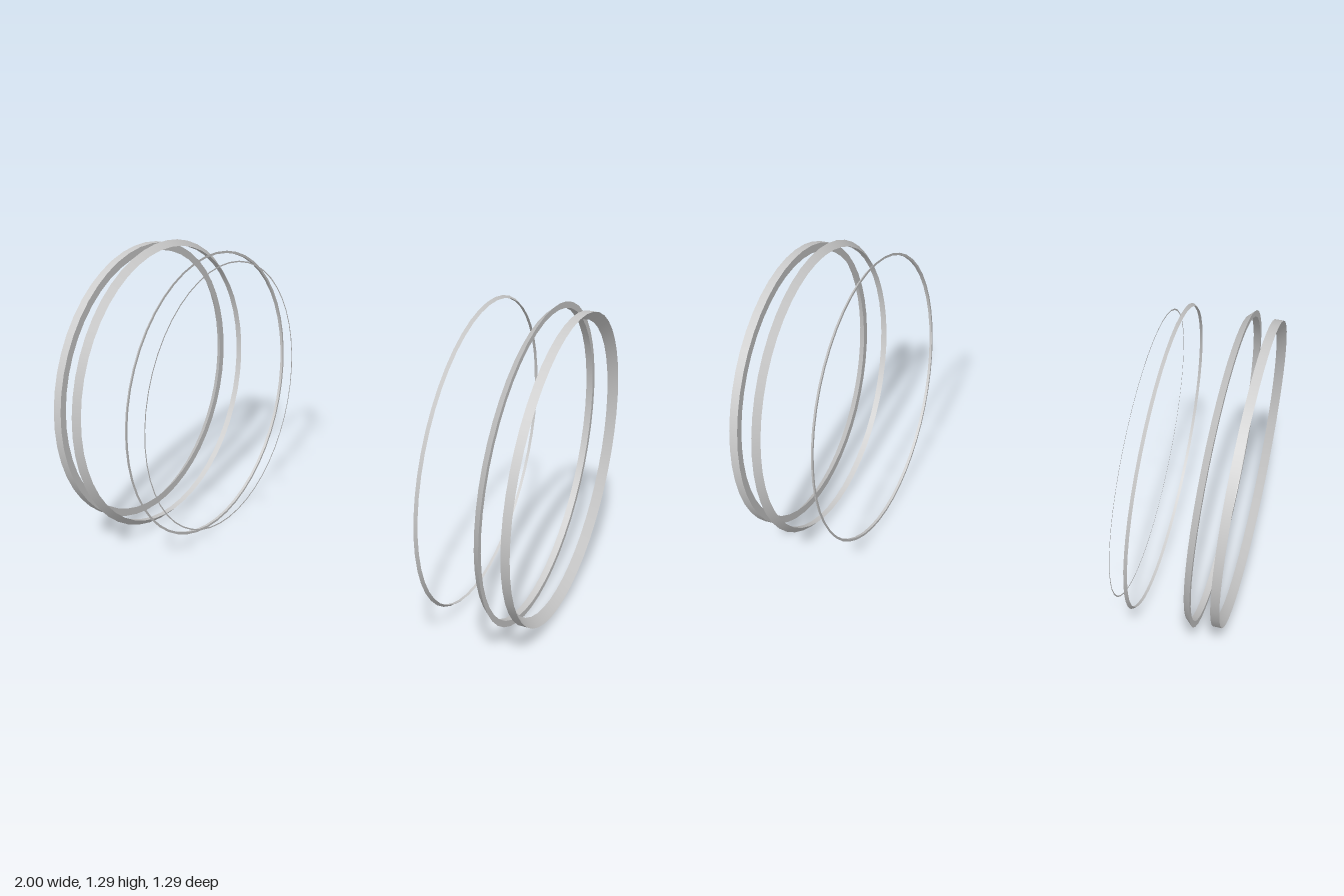
import * as THREE from 'three';
import { mergeGeometries } from 'three/addons/utils/BufferGeometryUtils.js';

const SEGMENTS = 48;
const AXLE_HEIGHT = 0.645;

// Revolves a closed [radius, x] section about the x axis, with sharp edges between its sides.
function ringGeometry(section) {
  const bands = section.map((p, i) => {
    const q = section[(i + 1) % section.length];
    return new THREE.LatheGeometry([new THREE.Vector2(...p), new THREE.Vector2(...q)], SEGMENTS);
  });
  return mergeGeometries(bands).rotateZ(-Math.PI / 2);
}

export function createModel() {
  const model = new THREE.Group();
  const material = new THREE.MeshStandardMaterial({ color: 0xcccccc });

  // Sections run counter-clockwise: up along the outside, back along the inside.
  const rings = {
    // straight outside, inside flaring open towards the end
    OuterRing: [[0.622, 0.965], [0.622, 1.0], [0.588, 0.965]],
    // bevelled outside, flat face towards the end
    BevelRing: [[0.62, 0.863], [0.645, 0.89], [0.62, 0.89]],
    // fine bevel, flat face towards the middle
    InnerRing: [[0.63, 0.632], [0.62, 0.644], [0.62, 0.632]],
  };

  for (const [name, section] of Object.entries(rings)) {
    const geometry = ringGeometry(section);
    for (const side of ['left', 'right']) {
      const ring = new THREE.Mesh(geometry, material);
      ring.name = side + name;
      ring.position.y = AXLE_HEIGHT;
      if (side === 'right') ring.rotation.y = Math.PI;
      model.add(ring);
    }
  }

  // Hairline flat ring, on the right only
  const hairline = new THREE.Mesh(
    new THREE.RingGeometry(0.59, 0.596, SEGMENTS).rotateY(Math.PI / 2),
    new THREE.MeshStandardMaterial({ color: 0xcccccc, side: THREE.DoubleSide })
  );
  hairline.name = 'rightHairlineRing';
  hairline.position.set(-0.567, AXLE_HEIGHT, 0);
  model.add(hairline);

  return model;
}
